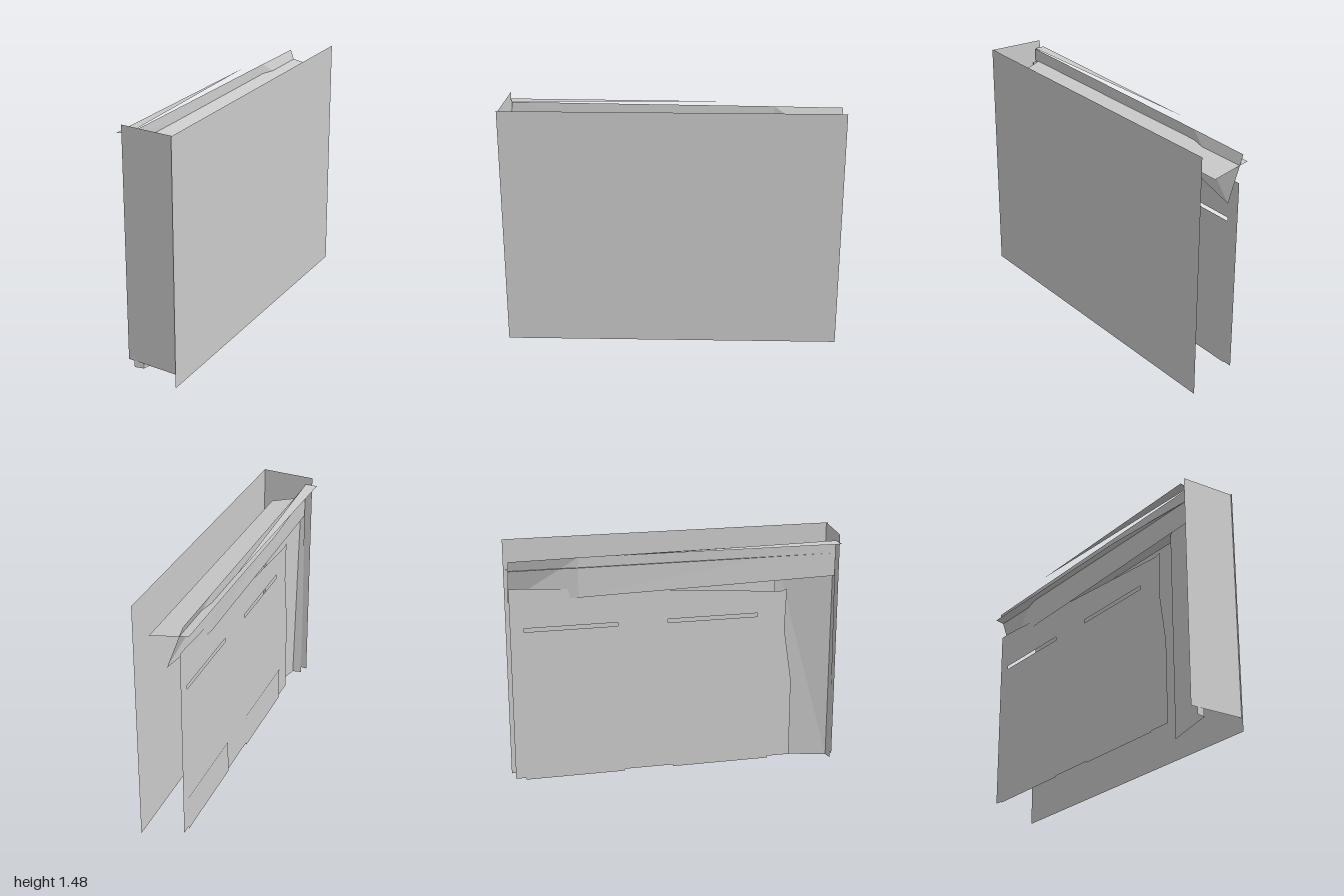
import * as THREE from 'three';

const material = new THREE.MeshStandardMaterial({ color: 0xcccccc, side: THREE.DoubleSide, flatShading: true });

// Thin sheet spanned between two edges with the same number of points
function sheet(name, edgeA, edgeB) {
  const pos = [], index = [];
  edgeA.forEach((p, i) => {
    pos.push(...p, ...edgeB[i]);
    if (i) {
      const k = 2 * i;
      index.push(k - 2, k - 1, k, k, k - 1, k + 1);
    }
  });
  const g = new THREE.BufferGeometry();
  g.setAttribute('position', new THREE.Float32BufferAttribute(pos, 3));
  g.setIndex(index);
  g.computeVertexNormals();
  const m = new THREE.Mesh(g, material);
  m.name = name;
  return m;
}

const rectPoints = (z0, z1, y0, y1) =>
  [[z0, y0], [z1, y0], [z1, y1], [z0, y1]].map(p => new THREE.Vector2(...p));

// Upright sheet facing -x, outlined in (z, y)
function upright(name, x, points, holes = []) {
  const shape = new THREE.Shape(points);
  holes.forEach(h => shape.holes.push(new THREE.Path(h)));
  const g = new THREE.ShapeGeometry(shape);
  g.rotateY(-Math.PI / 2);
  g.translate(x, 0, 0);
  const m = new THREE.Mesh(g, material);
  m.name = name;
  return m;
}

export function createModel() {
  const model = new THREE.Group();
  model.name = 'sheetCabinet';

  // Large outer side sheet and the front sheet hinged to it
  model.add(upright('sidePanel', 0.18, rectPoints(-1, 1, 0, 1.48)));
  model.add(sheet('frontPanel',
    [[-0.15, 0.08, 0.96], [0.18, 0.08, 0.99]],
    [[-0.15, 1.48, 0.96], [0.18, 1.48, 0.99]]));

  // Sloping inner lid
  model.add(sheet('lid',
    [[-0.143, 1.366, -1], [-0.143, 1.366, 0.3], [-0.11, 1.36, 0.92]],
    [[0.085, 1.325, -1], [0.085, 1.325, 0.3], [0.085, 1.325, 0.87]]));

  // Tapering flap over the lid edge
  model.add(sheet('lidFlap',
    [[-0.18, 1.43, 0.965], [-0.16, 1.43, -0.42]],
    [[-0.11, 1.436, 0.95], [-0.16, 1.43, -0.42]]));

  // Twisted strip standing through the lid
  model.add(sheet('topStrip',
    [[-0.11, 1.415, -1], [-0.11, 1.42, -0.6], [-0.11, 1.433, 0.95]],
    [[-0.014, 1.153, -1], [-0.1, 1.18, -0.6], [-0.108, 1.22, 0.95]]));

  // Inner side panel with two slots
  const outline = [[-1, 0.08], [0.7, 0.08], [0.7, 0.57], [0.65, 0.9], [0.66, 1.15],
    [0.62, 1.14], [-0.92, 1.25], [-1, 1.25]].map(p => new THREE.Vector2(...p));
  model.add(upright('innerPanel', -0.09, outline,
    [-0.92, -0.07].map(z => rectPoints(z, z + 0.55, 0.99, 1.012))));

  // Shallow flaps on the inner panel
  [-0.94, -0.04].forEach((z, i) =>
    model.add(upright('lowerFlap' + (i + 1), -0.094, rectPoints(z, z + 0.6, 0.07, 0.285))));
  model.add(upright('upperFlap', -0.092, rectPoints(-0.09, 0.59, 0.3, 0.98)));

  // Slanted front wing with a folded lip
  model.add(sheet('frontWing',
    [[0.03, 0.04, 0.62], [-0.055, 0.04, 0.955], [-0.11, 0.04, 0.965]],
    [[0.03, 1.33, 0.62], [-0.085, 1.35, 0.945], [-0.11, 1.35, 0.95]]));

  return model;
}
